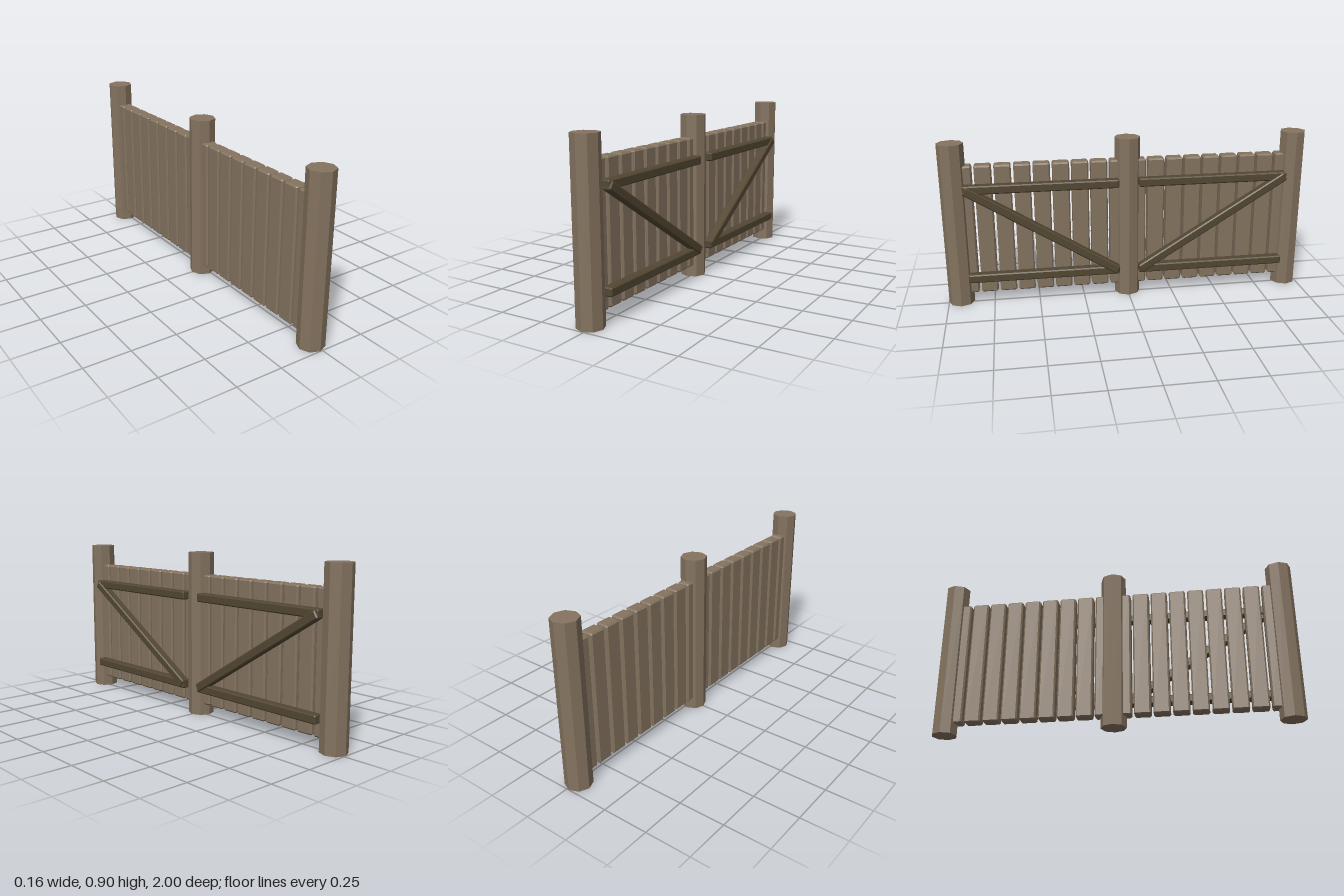
import * as THREE from 'three';
import { ConvexGeometry } from 'three/addons/geometries/ConvexGeometry.js';

const POST_X = -0.013;

// Box with every edge chamfered by b
function chamferBox(w, h, d, b) {
  const pts = [];
  for (const sx of [-1, 1]) for (const sy of [-1, 1]) for (const sz of [-1, 1]) {
    for (let axis = 0; axis < 3; axis++) {
      const inset = [b, b, b];
      inset[axis] = 0;
      pts.push(new THREE.Vector3(
        sx * (w / 2 - inset[0]), sy * (h / 2 - inset[1]), sz * (d / 2 - inset[2])));
    }
  }
  return new ConvexGeometry(pts);
}

export function createModel() {
  const model = new THREE.Group();
  model.name = 'fence';
  const lightWood = new THREE.MeshStandardMaterial({ color: 0x84735f, flatShading: true });
  lightWood.name = 'light wood';
  const darkWood = new THREE.MeshStandardMaterial({ color: 0x524732, flatShading: true });
  darkWood.name = 'dark wood';

  const add = (parent, name, geometry, material, x, y, z) => {
    const mesh = new THREE.Mesh(geometry, material);
    mesh.name = name;
    mesh.position.set(x, y, z);
    parent.add(mesh);
    return mesh;
  };

  // Three octagonal posts
  const postGeometry = new THREE.CylinderGeometry(0.07, 0.07, 0.9, 8);
  for (const z of [-0.93, 0, 0.93]) add(model, 'post', postGeometry, lightWood, POST_X, 0.45, z);

  const plankGeometry = chamferBox(0.07, 0.72, 0.09, 0.008);
  const railGeometry = chamferBox(0.052, 0.046, 0.826, 0.006);

  // Diagonal brace between the two rails
  const from = { y: 0.165, z: 0.066 }, to = { y: 0.66, z: 0.868 };
  const dy = to.y - from.y, dz = to.z - from.z;
  const braceGeometry = chamferBox(0.05, 0.046, Math.hypot(dy, dz) + 0.01, 0.006);

  // Two mirrored panels, braces rising toward the outer posts
  for (const side of [1, -1]) {
    const panel = new THREE.Group();
    panel.name = side > 0 ? 'frontPanel' : 'backPanel';
    model.add(panel);

    for (let i = 0; i < 9; i++) {
      add(panel, 'plank', plankGeometry, lightWood, -0.015, 0.42, side * (0.054 + i * 0.1025));
    }
    for (const y of [0.162, 0.662]) add(panel, 'rail', railGeometry, darkWood, 0.046, y, side * 0.467);

    const brace = add(panel, 'brace', braceGeometry, darkWood,
      0.055, (from.y + to.y) / 2, side * (from.z + to.z) / 2);
    brace.rotation.x = -side * Math.atan2(dy, dz);
  }
  return model;
}
